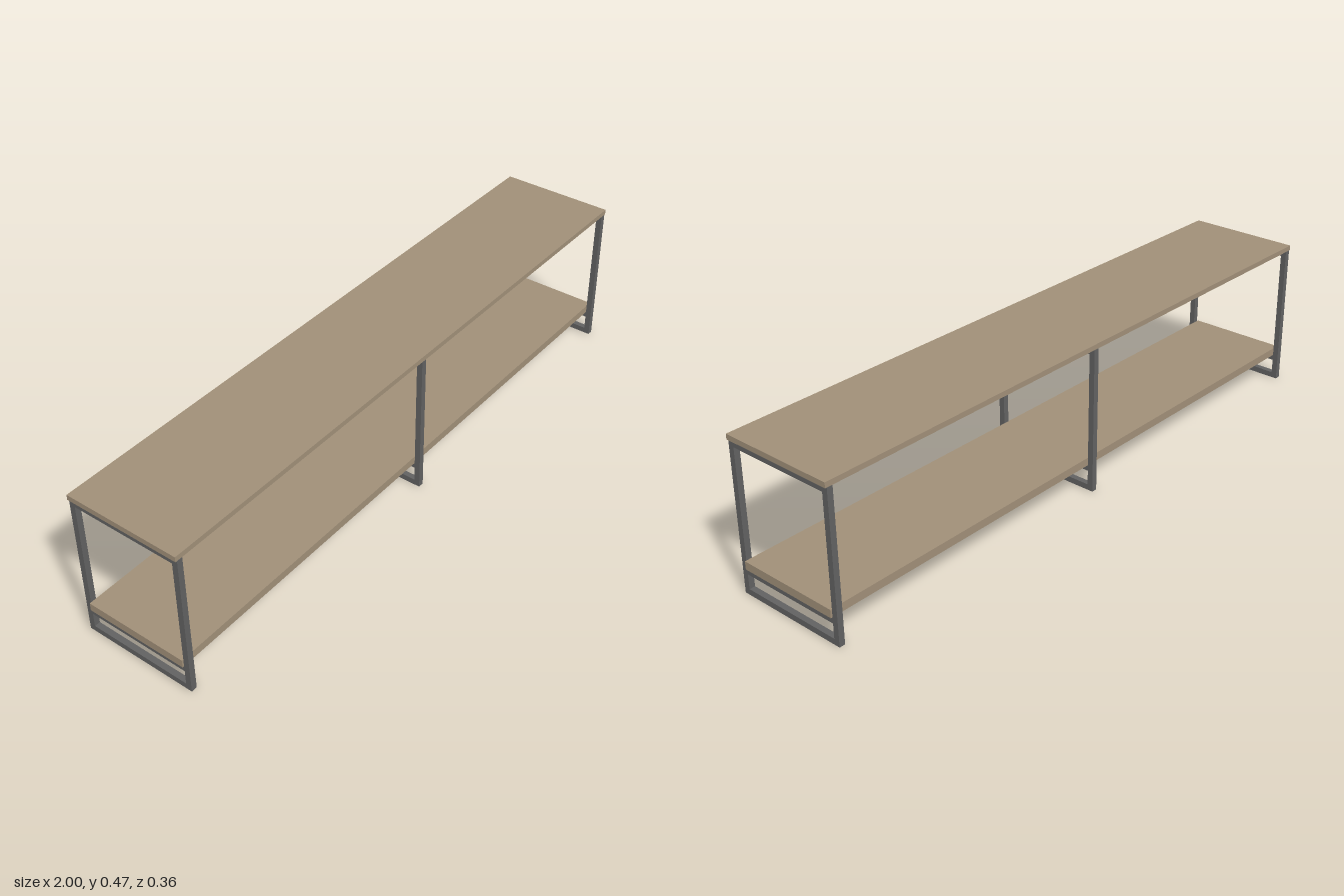
import * as THREE from 'three';

const HALF_DEPTH = 0.1815; // outer half depth of frames and top
const BAR = 0.018;         // square tube thickness
const FRAME_TOP = 0.457;
const RAIL_TOP = 0.082;    // rail carrying the lower shelf

function rectangle(target, z0, y0, z1, y1) {
  target.moveTo(z0, y0);
  target.lineTo(z1, y0);
  target.lineTo(z1, y1);
  target.lineTo(z0, y1);
  target.closePath();
  return target;
}

// Closed frame with a middle rail, drawn in the z-y plane and centred on x = 0
function frameGeometry() {
  const inner = HALF_DEPTH - BAR;
  const outline = rectangle(new THREE.Shape(), -HALF_DEPTH, 0, HALF_DEPTH, FRAME_TOP);
  outline.holes.push(
    rectangle(new THREE.Path(), -inner, BAR, inner, RAIL_TOP - BAR),
    rectangle(new THREE.Path(), -inner, RAIL_TOP, inner, FRAME_TOP - BAR)
  );
  const geometry = new THREE.ExtrudeGeometry(outline, { depth: BAR, bevelEnabled: false });
  geometry.translate(0, 0, -BAR / 2);
  geometry.rotateY(Math.PI / 2);
  return geometry;
}

export function createModel() {
  const group = new THREE.Group();
  group.name = 'shelfBench';

  const wood = new THREE.MeshStandardMaterial({ color: 0xa08f78 });
  wood.name = 'wood';
  const metal = new THREE.MeshStandardMaterial({ color: 0x616161 });
  metal.name = 'dark metal';

  function addBoard(name, bottom, top, depth) {
    const board = new THREE.Mesh(new THREE.BoxGeometry(2, top - bottom, depth), wood);
    board.position.y = (bottom + top) / 2;
    board.name = name;
    group.add(board);
  }

  // Boards: the lower one sits between the posts
  addBoard('topBoard', FRAME_TOP, 0.473, HALF_DEPTH * 2);
  addBoard('lowerShelf', RAIL_TOP, 0.107, (HALF_DEPTH - BAR) * 2 - 0.001);

  // Three supporting frames
  const geometry = frameGeometry();
  const frames = { rightFrame: -0.986, middleFrame: 0, leftFrame: 0.986 };
  for (const [name, x] of Object.entries(frames)) {
    const frame = new THREE.Mesh(geometry, metal);
    frame.position.x = x;
    frame.name = name;
    group.add(frame);
  }

  return group;
}
